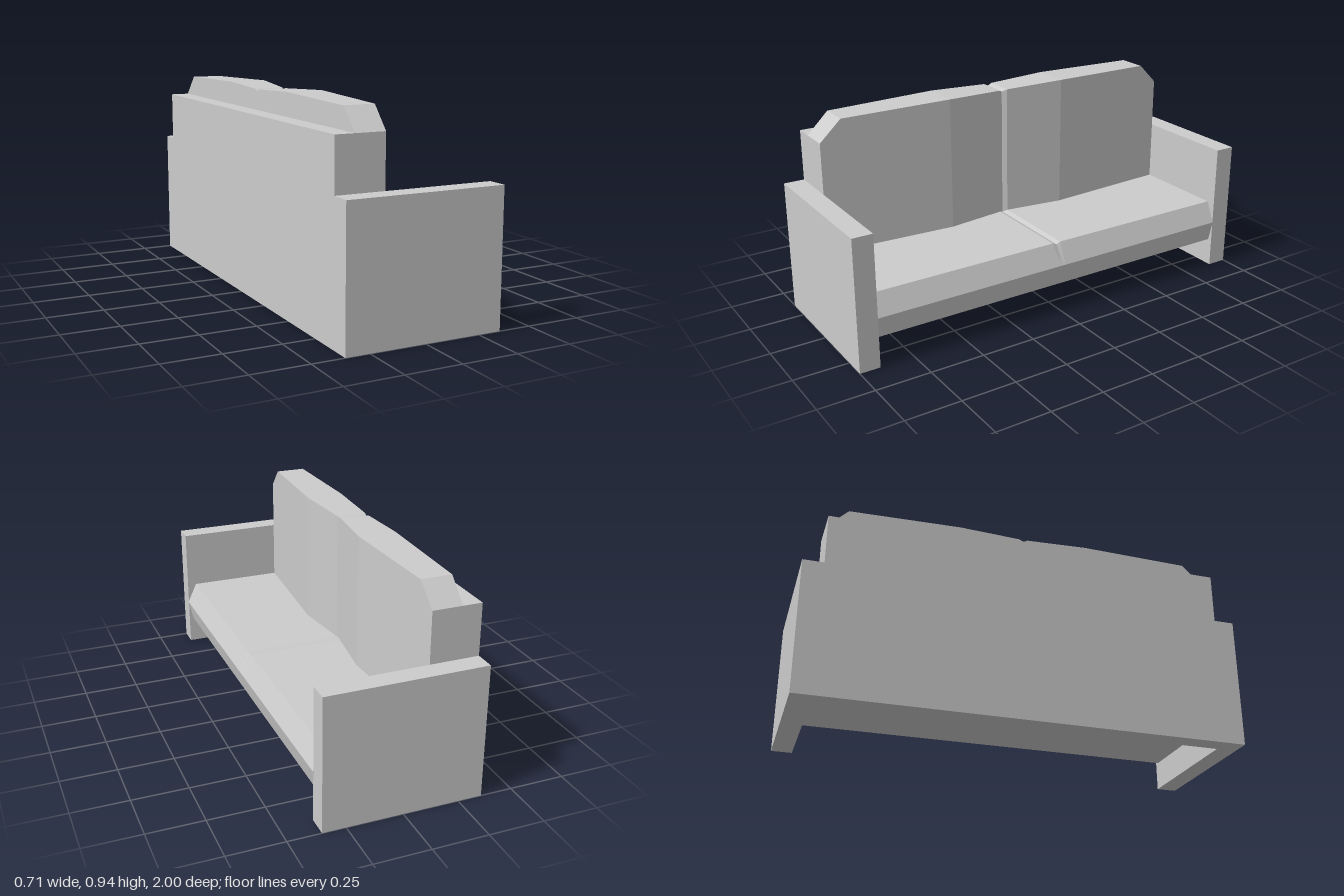
import * as THREE from 'three';

// Joins matching outlines (anticlockwise [x, y] points) placed along +z, and closes both ends.
function loft(sections) {
  const positions = [];
  const tri = (...pts) => pts.forEach((p) => positions.push(...p));
  const rings = sections.map(({ z, outline }) => outline.map(([x, y]) => [x, y, z]));
  const n = rings[0].length;
  for (let s = 0; s < rings.length - 1; s++) {
    const a = rings[s], b = rings[s + 1];
    for (let i = 0; i < n; i++) {
      const j = (i + 1) % n;
      tri(a[i], a[j], b[j]);
      tri(a[i], b[j], b[i]);
    }
  }
  const first = rings[0], last = rings[rings.length - 1];
  for (let i = 1; i < n - 1; i++) {
    tri(first[0], first[i + 1], first[i]);
    tri(last[0], last[i], last[i + 1]);
  }
  const geometry = new THREE.BufferGeometry();
  geometry.setAttribute('position', new THREE.Float32BufferAttribute(positions, 3));
  geometry.computeVertexNormals();
  return geometry;
}

// Mirrors stations listed from z = 0 outwards into a full run from -z to +z.
function mirrorStations(half) {
  const negative = half.slice(1).reverse().map(([z, ...rest]) => [-z, ...rest]);
  return [...negative, ...half];
}

export function createModel() {
  const sofa = new THREE.Group();
  sofa.name = 'sofa';

  const upholstery = new THREE.MeshStandardMaterial({ color: 0xcccccc, flatShading: true });
  upholstery.name = 'light grey upholstery';

  const add = (name, geometry) => {
    const mesh = new THREE.Mesh(geometry, upholstery);
    mesh.name = name;
    sofa.add(mesh);
    return mesh;
  };

  const back = -0.357, front = 0.353, panelFront = -0.27, inner = 0.907;

  // Slab arms
  for (const side of [-1, 1]) {
    const arm = add(side > 0 ? 'leftEndArm' : 'rightEndArm',
      new THREE.BoxGeometry(front - back, 0.602, 1 - inner));
    arm.position.set((front + back) / 2, 0.301, side * (1 + inner) / 2);
  }

  // Upright back panel, reaching the floor
  const panel = add('backPanel', new THREE.BoxGeometry(panelFront - back, 0.832, inner * 2));
  panel.position.set((panelFront + back) / 2, 0.416, 0);

  // Seat with a pointed front edge and a shallow groove in the middle: [z, top height]
  const seatStations = mirrorStations([[0, 0.316], [0.02, 0.325], [inner, 0.325]]);
  add('seat', loft(seatStations.map(([z, top]) => ({
    z,
    outline: [[panelFront, 0.13], [0.332, 0.13], [0.355, 0.228], [0.31, top], [panelFront, top]],
  }))));

  // Pair of swelling back cushions with clipped corners: [z, top height, front x]
  const cushionStations = mirrorStations([
    [0, 0.916, -0.147],
    [0.02, 0.926, -0.134],
    [0.3, 0.938, -0.098],
    [0.81, 0.927, -0.131],
    [inner, 0.832, -0.137],
  ]);
  add('backCushions', loft(cushionStations.map(([z, top, x]) => ({
    z,
    outline: [[panelFront, 0.3], [x, 0.3], [x, top], [panelFront, top]],
  }))));

  return sofa;
}
